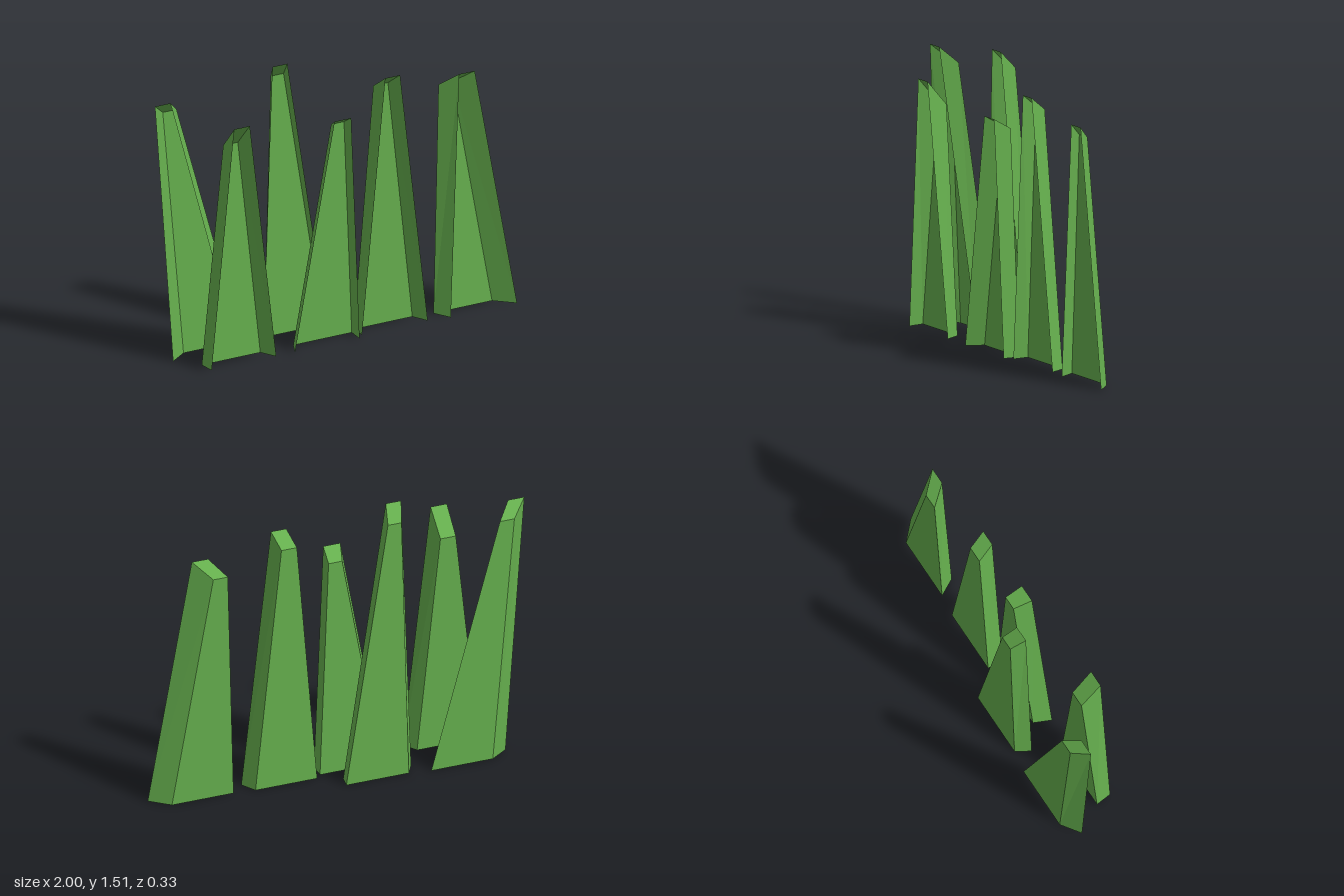
import * as THREE from 'three';

// Each end of a blade panel edge: [xLeft, xRight, y, z]
const BLADES = [
  { frontTop: [-1.0, -0.91, 1.415, -0.095], backTop: [-0.915, -0.835, 1.34, -0.165],
    frontFoot: [-0.90, -0.525, 0, -0.085], backFoot: [-0.80, -0.46, 0, -0.155] },
  { frontTop: [-0.685, -0.595, 1.32, 0.165], backTop: [-0.685, -0.60, 1.19, 0.05],
    frontFoot: [-0.805, -0.43, 0.015, 0.145], backFoot: [-0.815, -0.475, 0.015, 0.06] },
  { frontTop: [-0.335, -0.25, 1.51, -0.06], backTop: [-0.305, -0.23, 1.425, -0.135],
    frontFoot: [-0.39, -0.015, 0, -0.06], backFoot: [-0.345, 0, 0, -0.135] },
  { frontTop: [-0.085, 0.01, 1.23, 0.137], backTop: [-0.055, 0.02, 1.175, 0.045],
    frontFoot: [-0.305, 0.07, 0, 0.117], backFoot: [-0.265, 0.075, 0, 0.027] },
  { frontTop: [0.23, 0.315, 1.39, 0.1], backTop: [0.21, 0.295, 1.32, 0.01],
    frontFoot: [0.105, 0.487, 0, 0.08], backFoot: [0.105, 0.445, 0, -0.005] },
  { frontTop: [0.67, 0.76, 1.315, 0.08], backTop: [0.60, 0.68, 1.24, -0.01],
    frontFoot: [0.61, 0.995, 0, 0.1], backFoot: [0.56, 0.90, 0, 0.01] },
];

// Folded blade: back, two sides and a sloping tip; front and foot are open
function bladeGeometry({ frontTop, backTop, frontFoot, backFoot }) {
  const ends = ([x0, x1, y, z]) => [[x0, y, z], [x1, y, z]];
  const [ft0, ft1] = ends(frontTop), [bt0, bt1] = ends(backTop);
  const [ff0, ff1] = ends(frontFoot), [bf0, bf1] = ends(backFoot);
  const panels = [
    [bf1, bf0, bt0, bt1], // back
    [bf0, ff0, ft0, bt0], // right side
    [ff1, bf1, bt1, ft1], // left side
    [ft0, ft1, bt1, bt0], // tip
  ];
  const points = panels.flatMap(([a, b, c, d]) => [a, b, c, a, c, d]).flat();
  const geometry = new THREE.BufferGeometry();
  geometry.setAttribute('position', new THREE.Float32BufferAttribute(points, 3));
  geometry.computeVertexNormals();
  return geometry;
}

export function createModel() {
  const group = new THREE.Group();
  group.name = 'grassTuft';
  const green = new THREE.MeshStandardMaterial({
    color: 0x66b04e, flatShading: true, side: THREE.DoubleSide,
  });
  BLADES.forEach((blade, i) => {
    const mesh = new THREE.Mesh(bladeGeometry(blade), green);
    mesh.name = `grassBlade${i + 1}`;
    group.add(mesh);
  });
  return group;
}
